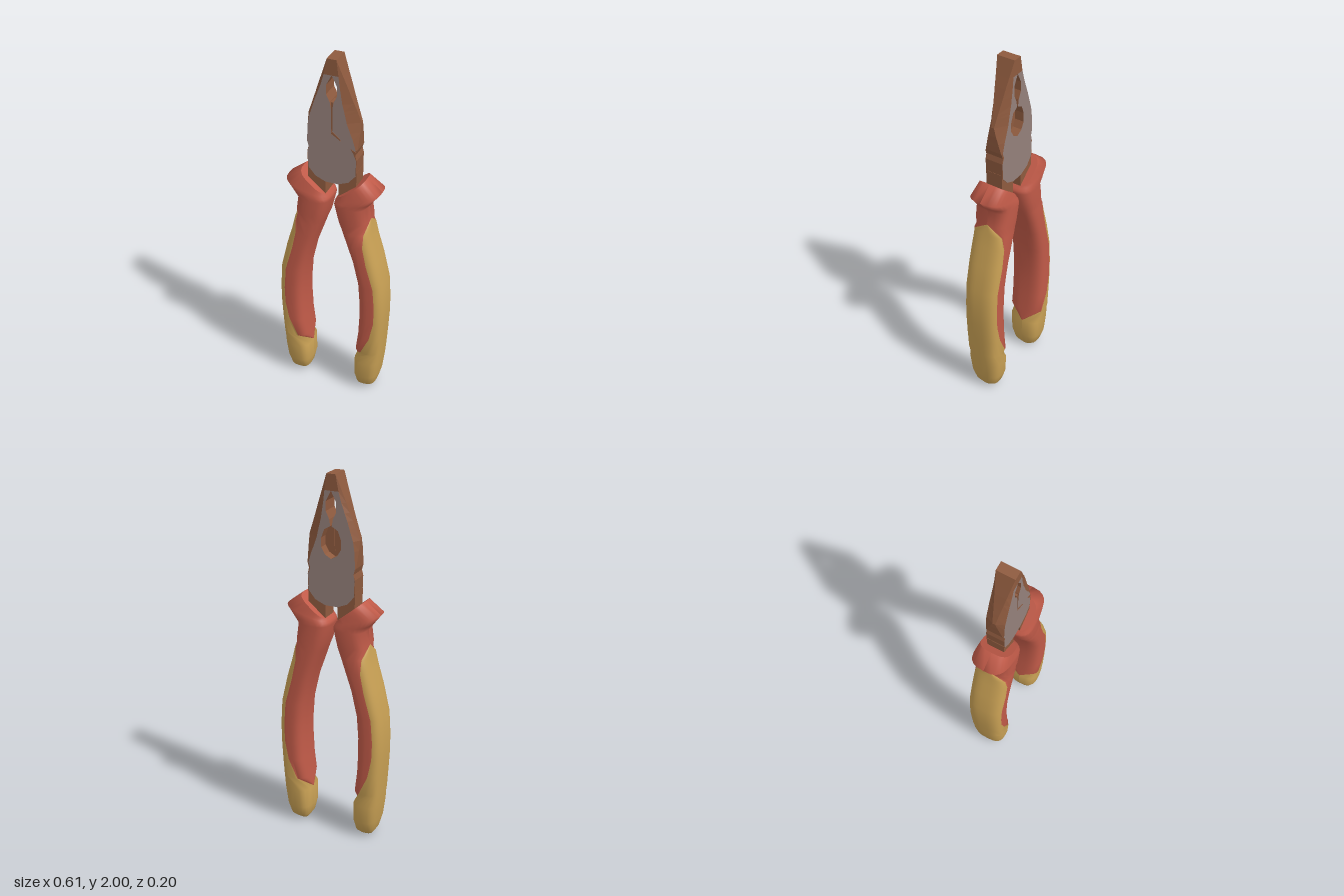
import * as THREE from 'three';

const mat = (name, color) => Object.assign(new THREE.MeshStandardMaterial({ color }), { name });

// Skins a stack of closed rings (bottom to top); colourOf(row, segment) picks a material index.
function loft(rings, colourOf, capColours, flip, smooth) {
  const n = rings[0].length, pos = [], lists = [[], []];
  rings.forEach(ring => ring.forEach(p => pos.push(...p)));
  const tri = (c, a, b, d) => lists[c].push(...(flip ? [a, d, b] : [a, b, d]));
  for (let r = 0; r < rings.length - 1; r++) {
    for (let i = 0; i < n; i++) {
      const j = (i + 1) % n, a = r * n + i, b = r * n + j, c = colourOf(r, i);
      tri(c, a, a + n, b);
      tri(c, b, a + n, b + n);
    }
  }
  // end caps with their own vertices, so the rims stay crisp
  [rings[0], rings[rings.length - 1]].forEach((ring, top) => {
    const k = pos.length / 3;
    ring.forEach(p => pos.push(...p));
    for (let i = 1; i < n - 1; i++) {
      if (top) tri(capColours[1], k, k + i + 1, k + i);
      else tri(capColours[0], k, k + i, k + i + 1);
    }
  });
  let geo = new THREE.BufferGeometry();
  geo.setAttribute('position', new THREE.Float32BufferAttribute(pos, 3));
  geo.setIndex([...lists[0], ...lists[1]]);
  geo.addGroup(0, lists[0].length, 0);
  geo.addGroup(lists[0].length, lists[1].length, 1);
  if (!smooth) geo = geo.toNonIndexed();
  geo.computeVertexNormals();
  return geo;
}

// Handle sections: inner x, y, outer x, y, half depth, colour split (-1 all outer grip, 1 all sleeve)
const HANDLE = [
  [.165, .0, .235, .004, .035, -1],
  [.145, .03, .255, .035, .07, -1],
  [.133, .09, .272, .1, .09, -1],
  [.135, .2, .284, .2, .098, -1],
  [.142, .28, .29, .28, .1, -.4],
  [.155, .39, .297, .39, .1, .15],
  [.16, .5, .303, .5, .1, .38],
  [.16, .6, .303, .6, .1, .42],
  [.15, .73, .295, .73, .1, .4],
  [.118, .87, .26, .88, .1, .3],
  [.083, .97, .228, .99, .1, .45],
  [.055, 1.05, .212, 1.06, .1, .72],
  [.035, 1.1, .2, 1.12, .1, 1],
  [.01, 1.2, .19, 1.2, .1, 1],
  [.014, 1.215, .215, 1.235, .1, 1],
  [.02, 1.225, .258, 1.29, .097, 1],
  [.03, 1.235, .175, 1.355, .085, 1],
];

function handleGeometry(s) {
  const M = 24, N = 3;
  const pw = (v, e) => Math.sign(v) * Math.abs(v) ** e;
  const rings = HANDLE.map(([xi, yi, xo, yo, hz, t]) => {
    const a = Math.acos(pw(t, N / 2)), ring = [];
    for (let i = 0; i < 2 * M; i++) {
      // first half of the ring spans the outer grip, second half the sleeve
      const th = i < M ? -a + 2 * a * i / M : a + (2 * Math.PI - 2 * a) * (i - M) / M;
      const u = pw(Math.cos(th), 2 / N), v = pw(Math.sin(th), 2 / N);
      ring.push([s * ((xi + xo) / 2 + u * (xo - xi) / 2), (yi + yo) / 2 + u * (yo - yi) / 2, v * hz]);
    }
    return ring;
  });
  return loft(rings, (r, i) => (i < M ? 0 : 1), [0, 1], s < 0, true);
}

// Jaw sections: y, outer x, face edge x (-x jaw), face edge x (+x jaw), half ridge width,
// inner x at front, inner x at back
const JAW = [
  [1.312, .035, .035, .035, .05, 0, 0],
  [1.335, .09, .09, .09, .05, 0, 0],
  [1.38, .13, .128, .128, .05, 0, 0],
  [1.47, .133, .131, .131, .05, 0, 0],
  [1.5, .126, .125, .118, .049, 0, 0],
  [1.53, .136, .133, .128, .045, 0, 0],
  [1.565, .138, .132, .118, .035, 0, 0],
  [1.585, .139, .131, .112, .03, 0, .035],
  [1.62, .141, .129, .098, .02, .004, .055],
  [1.67, .142, .122, .08, .008, .004, .055],
  [1.715, .126, .107, .07, .013, .004, .038],
  [1.735, .119, .101, .065, .015, .004, .004],
  [1.77, .106, .09, .056, .02, .01, .01],
  [1.81, .092, .075, .05, .025, .029, .029],
  [1.86, .075, .057, .042, .031, .029, .029],
  [1.915, .055, .041, .036, .038, 0, 0],
  [2, .025, .025, .025, .05, 0, 0],
];

function jawGeometry(s) {
  const d = .05;
  const rings = JAW.map(([y, xo, fl, fr, m, xf, xb]) => {
    const f = s > 0 ? fr : fl;
    return [[xo, m], [f, d], [xf, d], [xf, 0], [xb, 0], [xb, -d], [f, -d], [xo, -m]]
      .map(([x, z]) => [s * x, y, z]);
  });
  const face = (r, i) => ((i === 1 || i === 5) && r < JAW.length - 2 ? 0 : 1);
  return loft(rings, face, [1, 1], s < 0, false);
}

// Flat plate cut from an outline, from z0 to z0 + depth
function plate(points, z0, depth) {
  const shape = new THREE.Shape(points.map(p => new THREE.Vector2(...p)));
  return new THREE.ExtrudeGeometry(shape, { depth, bevelEnabled: false }).translate(0, 0, z0);
}

export function createModel() {
  const steel = mat('ground steel', 0x94807a);
  const brown = mat('brown steel', 0x8e5a3e);
  const red = mat('red sleeve', 0xc05a48);
  const yellow = mat('yellow grip', 0xc8a054);
  const model = new THREE.Group();
  model.name = 'pliers';
  const add = (name, geo, material) => {
    const mesh = new THREE.Mesh(geo, material);
    mesh.name = name;
    model.add(mesh);
  };

  for (const [side, s] of [['left', 1], ['right', -1]]) {
    add(side + 'Handle', handleGeometry(s), [yellow, red]);
    add(side + 'Jaw', jawGeometry(s), [steel, brown]);
    // shank joining the head to the handle
    const shank = [[.035, 1.18], [.13, 1.2], [.133, 1.4], [.035, 1.37]].map(([x, y]) => [s * x, y]);
    add(side + 'Shank', plate(shank, -.047, .094), brown);
  }

  // dark seam between the jaws and the joint lines on the front
  add('jawSeam', new THREE.BoxGeometry(.012, .17, .045).translate(0, 1.685, .0235), brown);
  add('jointLine', plate([[-.004, 1.6], [.05, 1.565], [.045, 1.575], [.004, 1.61]], .049, .003), brown);
  add('jointNotch', plate([[.1, 1.535], [.125, 1.497], [.13, 1.52]], .049, .003), brown);
  return model;
}
